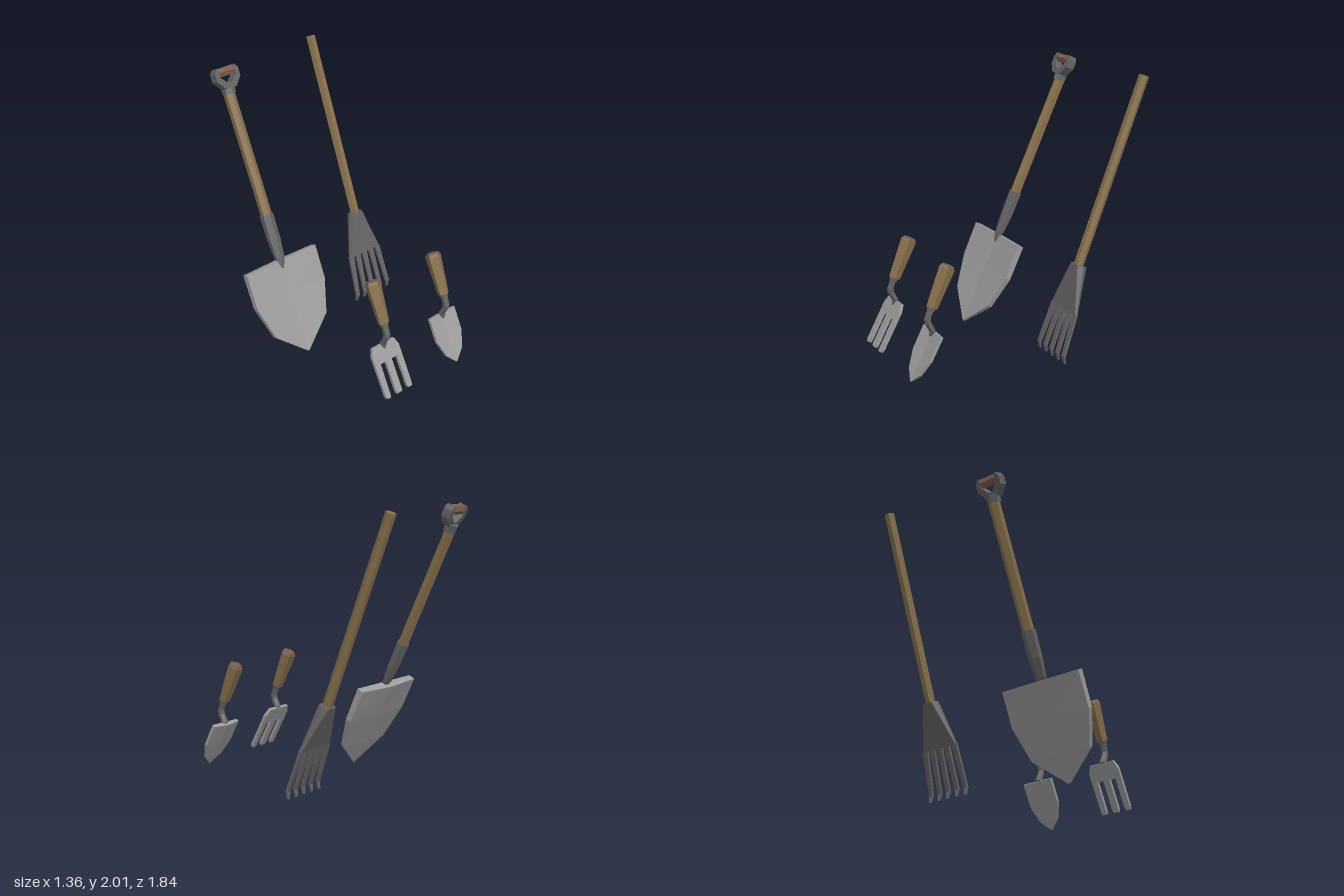
import * as THREE from 'three';

const mat = (name, color) => {
  const m = new THREE.MeshStandardMaterial({ color });
  m.name = name;
  m.flatShading = true;
  return m;
};

// Joins cross-section rings (listed bottom to top) into a closed, faceted solid
function loft(rings) {
  const pos = [];
  const tri = (...p) => p.forEach((v) => pos.push(...v));
  const n = rings[0].length;
  for (let r = 0; r < rings.length - 1; r++) {
    const a = rings[r], b = rings[r + 1];
    for (let i = 0; i < n; i++) {
      const j = (i + 1) % n;
      tri(a[i], a[j], b[j]);
      tri(a[i], b[j], b[i]);
    }
  }
  const bottom = rings[0], top = rings[rings.length - 1];
  for (let i = 1; i < n - 1; i++) {
    tri(top[0], top[i], top[i + 1]);
    tri(bottom[0], bottom[i + 1], bottom[i]);
  }
  const g = new THREE.BufferGeometry();
  g.setAttribute('position', new THREE.Float32BufferAttribute(pos, 3));
  g.computeVertexNormals();
  return g;
}

// Hexagonal ring: height, half width, half depth, z offset
function hexRing([y, w, d, z]) {
  return Array.from({ length: 6 }, (_, i) => {
    const a = (i * Math.PI) / 3;
    return [(w * Math.sin(a)) / 0.866, y, z + d * Math.cos(a)];
  });
}

// Dished blade ring: height, half width, edge z, centre z, thickness
function bladeRing([y, w, e, c, t]) {
  return [[-w, y, e], [0, y, c], [w, y, e], [w, y, e - t], [0, y, c - t], [-w, y, e - t]];
}

// Rectangular ring: centre x, height, half width, z, half depth
function boxRing([x, y, w, z, d]) {
  return [[x - w, y, z + d], [x + w, y, z + d], [x + w, y, z - d], [x - w, y, z - d]];
}

function plate(points, depth, z) {
  const shape = new THREE.Shape(points.map(([x, y]) => new THREE.Vector2(x, y)));
  return new THREE.ExtrudeGeometry(shape, { depth, bevelEnabled: false }).translate(0, 0, z);
}

function add(parent, name, geometry, material, x = 0, y = 0, z = 0) {
  const mesh = new THREE.Mesh(geometry, material);
  mesh.name = name;
  mesh.position.set(x, y, z);
  parent.add(mesh);
  return mesh;
}

// Group leaning backwards by some degrees
function leaning(parent, name, degrees, x, y, z) {
  const g = new THREE.Group();
  g.name = name;
  g.position.set(x, y, z);
  g.rotation.x = -THREE.MathUtils.degToRad(degrees);
  parent.add(g);
  return g;
}

const mirrored = (half) => [...half, ...half.map(([x, y]) => [-x, y]).reverse()];

export function createModel() {
  const steel = mat('steel', 0x9c9c9c);
  const iron = mat('dark iron', 0x636363);
  const wood = mat('wood', 0x87704a);
  const brown = mat('reddish brown', 0x7a5c4e);
  const model = new THREE.Group();
  model.name = 'gardenTools';

  // Shovel, origin at the blade tip
  const shovel = leaning(model, 'shovel', 25, -0.365, 0.012, 0.1);
  add(shovel, 'shovelBlade', loft([
    [0, 0.004, 0, 0, 0.02],
    [0.205, 0.242, 0.004, -0.006, 0.035],
    [0.458, 0.32, 0.002, -0.012, 0.045],
    [0.722, 0.32, 0.006, -0.013, 0.052],
  ].map(bladeRing)), steel);
  add(shovel, 'shovelSocket', loft([
    [0.66, 0.005, 0.006, -0.006],
    [0.74, 0.036, 0.027, -0.014],
    [0.88, 0.045, 0.042, -0.017],
    [1.075, 0.045, 0.049, -0.017],
  ].map(hexRing)), iron);
  add(shovel, 'shovelShaft', new THREE.CylinderGeometry(0.042, 0.042, 1.1, 6), wood, 0, 1.5, -0.017);
  add(shovel, 'gripCollar', new THREE.CylinderGeometry(0.05, 0.05, 0.06, 6), iron, 0, 2.02, -0.012);
  add(shovel, 'gripYoke', plate(mirrored([
    [0.045, 2.03], [0.1, 2.095], [0.1, 2.155], [0.08, 2.185], [0.066, 2.185], [0.066, 2.12], [0.012, 2.065],
  ]), 0.07, -0.03), iron);
  const bar = add(shovel, 'gripBar', new THREE.CylinderGeometry(0.036, 0.036, 0.145, 6), brown, 0, 2.152, 0.005);
  bar.rotation.z = Math.PI / 2;

  // Rake, origin where the tines bend
  const rake = leaning(model, 'rake', 21.5, 0.505, 0.06, -0.148);
  const shaft = add(rake, 'rakeShaft', new THREE.CylinderGeometry(0.037, 0.037, 1.46, 6), wood, 0, 1.33, 0.013);
  shaft.rotation.y = Math.PI / 6;
  add(rake, 'rakeHead', loft([[0.31, 0.157, 0.011], [0.645, 0.06, 0.042]].map(([y, w, d]) => {
    const c = w - d * 0.45, z = y * 0.02;
    return [[-c, y, z + d], [c, y, z + d], [w, y, z], [c, y, z - d], [-c, y, z - d], [-w, y, z]];
  })), iron);
  for (let i = -2; i <= 2; i++) {
    add(rake, 'rakeTine', loft([
      [i * 0.081, -0.045, 0.011, -0.028, 0.006],
      [i * 0.079, 0, 0.016, -0.002, 0.009],
      [i * 0.067, 0.32, 0.022, 0.006, 0.011],
    ].map(boxRing)), iron);
  }

  // Handle, collar and cranked neck shared by both hand tools
  function handTool(name, x, y) {
    const tool = new THREE.Group();
    tool.name = name;
    tool.position.set(x, y, 0);
    model.add(tool);
    const handle = leaning(tool, 'handle', 24, 0, 0.525, 0.74);
    add(handle, 'handleGrip', new THREE.CylinderGeometry(0.06, 0.043, 0.29, 5), wood, 0, 0.145);
    add(handle, 'handleCap', new THREE.CylinderGeometry(0.046, 0.06, 0.022, 5), brown, 0, 0.301);
    add(handle, 'handleCollar', new THREE.CylinderGeometry(0.036, 0.03, 0.03, 6), iron, 0, -0.008);
    add(tool, 'neck', loft([
      [0.315, 0.005, 0.01, 0.752],
      [0.355, 0.027, 0.024, 0.738],
      [0.415, 0.022, 0.025, 0.769],
      [0.445, 0.021, 0.026, 0.774],
      [0.53, 0.023, 0.026, 0.742],
    ].map(hexRing)), iron);
    return leaning(tool, 'toolHead', 29, 0, 0.012, 0.915);
  }

  // Hand trowel
  const trowel = handTool('trowel', 0.372, 0);
  add(trowel, 'trowelBlade', loft([
    [0, 0.003, 0, 0, 0.01],
    [0.075, 0.08, 0.006, 0, 0.018],
    [0.2, 0.127, 0.01, -0.002, 0.022],
    [0.385, 0.127, 0.014, 0, 0.026],
  ].map(bladeRing)), steel);

  // Hand fork
  const fork = handTool('handFork', -0.217, 0.018);
  add(fork, 'forkHead', plate(mirrored([
    [0.022, 0.008], [0.027, 0.03], [0.027, 0.255], [0.078, 0.255], [0.08, 0.03], [0.085, 0.008],
    [0.118, 0.008], [0.125, 0.03], [0.127, 0.325], [0.1, 0.385],
  ]), 0.024, -0.012), steel);

  return model;
}
